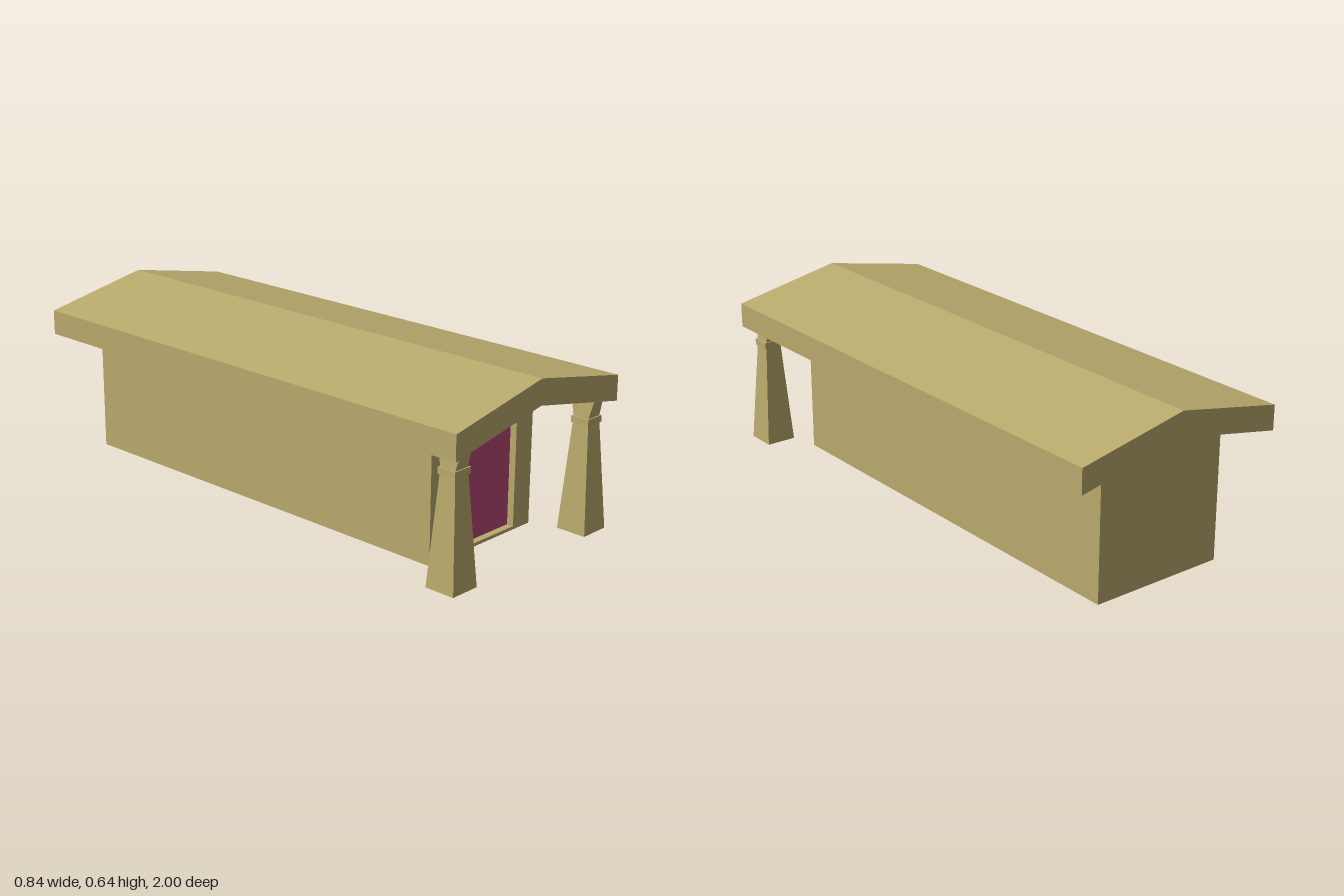
import * as THREE from 'three';

const tan = new THREE.MeshStandardMaterial({ color: 0xb9aa6c, flatShading: true });
const pink = new THREE.MeshStandardMaterial({ color: 0xb84877, flatShading: true });

const RIDGE = 0.548;             // underside of the roof at the ridge
const SLOPE = 0.083 / 0.42;
const underside = (x) => RIDGE - Math.abs(x) * SLOPE;

function mesh(name, geometry, material = tan) {
  const m = new THREE.Mesh(geometry, material);
  m.name = name;
  return m;
}

const outline = (points) => new THREE.Shape(points.map(([x, y]) => new THREE.Vector2(x, y)));

// Extrudes an outline along z from z0 to z1
function prism(shape, z0, z1) {
  return new THREE.ExtrudeGeometry(shape, { depth: z1 - z0, bevelEnabled: false }).translate(0, 0, z0);
}

// Box between y0 and y1 whose bottom and top have their own half sizes [x, z]
function taper(y0, y1, bottom, top) {
  const g = new THREE.BoxGeometry(2, 1, 2);
  const p = g.attributes.position;
  for (let i = 0; i < p.count; i++) {
    const upper = p.getY(i) > 0;
    const [hx, hz] = upper ? top : bottom;
    p.setXYZ(i, p.getX(i) * hx, upper ? y1 : y0, p.getZ(i) * hz);
  }
  g.computeVertexNormals();
  return g;
}

function wallOutline() {
  const l = -0.265, r = 0.26;
  return outline([[l, 0], [r, 0], [r, underside(r)], [0, RIDGE], [l, underside(l)]]);
}

function column(name, x) {
  const g = new THREE.Group();
  g.name = name;
  g.add(
    mesh('shaft', taper(0.003, 0.392, [0.058, 0.058], [0.032, 0.032])),
    mesh('collar', taper(0.392, 0.415, [0.038, 0.036], [0.038, 0.036])),
    mesh('bracket', taper(0.415, 0.5, [0.031, 0.031], [0.023, 0.052]))
  );
  g.position.set(x, 0, 0.932);
  return g;
}

export function createModel() {
  const model = new THREE.Group();
  model.name = 'gabledBuilding';

  // Shallow gabled roof slab overhanging on all sides
  const e = 0.42, t = 0.092;
  const roof = outline([
    [-e, underside(e)], [0, RIDGE], [e, underside(e)],
    [e, underside(e) + t], [0, RIDGE + t], [-e, underside(e) + t]
  ]);
  model.add(mesh('roof', prism(roof, -1, 1)));

  // Long body, with a front wall that frames the recessed door
  model.add(mesh('body', prism(wallOutline(), -0.91, 0.74)));
  const front = wallOutline();
  front.holes.push(outline([[-0.177, 0.012], [-0.177, 0.39], [0.174, 0.39], [0.174, 0.012]]));
  model.add(mesh('frontWall', prism(front, 0.74, 0.77)));

  const door = mesh('door', new THREE.BoxGeometry(0.351, 0.378, 0.006), pink);
  door.position.set(-0.0015, 0.201, 0.741);
  model.add(door);

  // Tapered porch columns
  model.add(column('leftColumn', 0.345), column('rightColumn', -0.345));
  return model;
}
